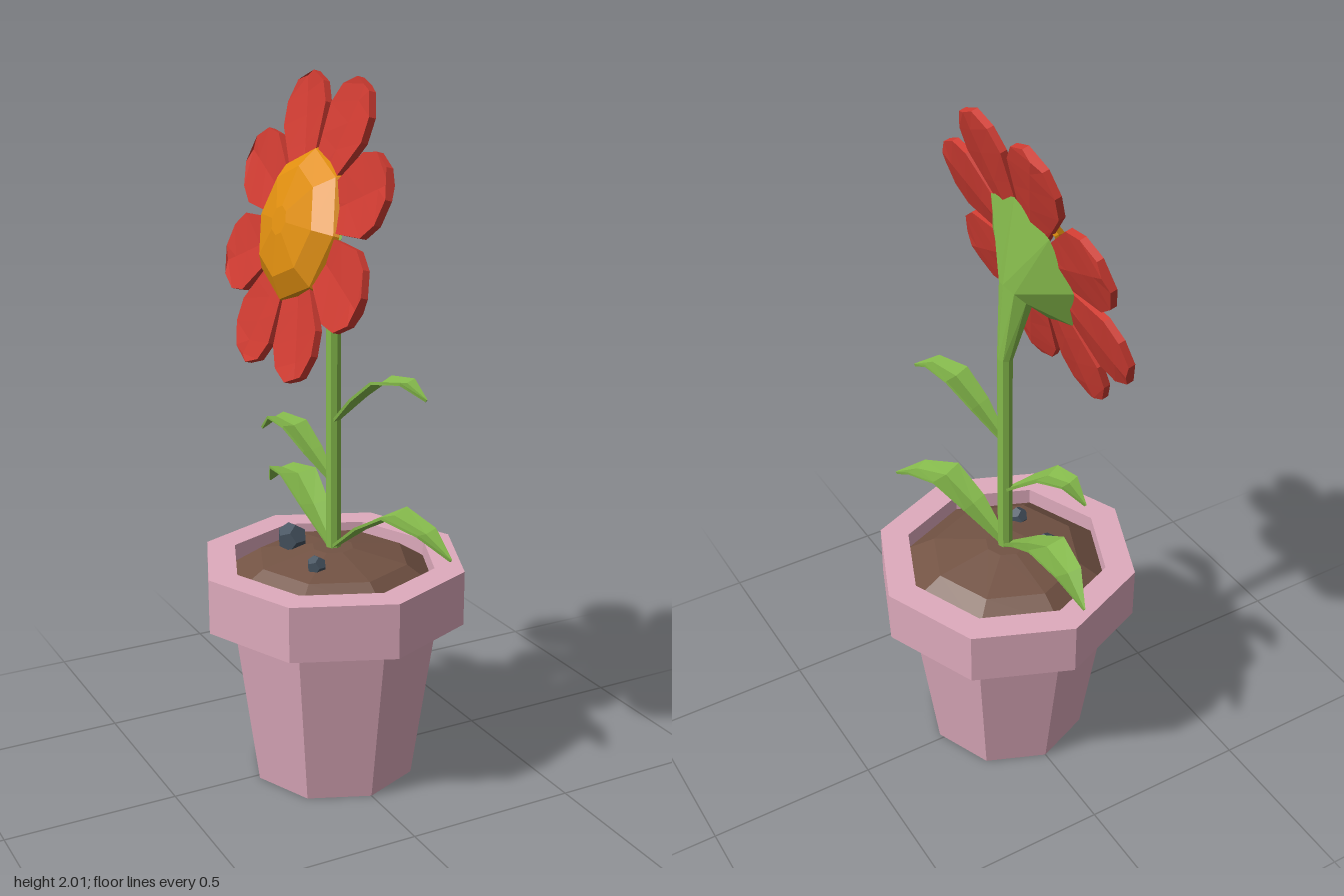
import * as THREE from 'three';

const V = (x, y, z) => new THREE.Vector3(x, y, z);
const CZ = 0.016; // z of the plant's axis
const mat = (color) => new THREE.MeshStandardMaterial({ color, flatShading: true });
const pink = mat(0xdfabbd), soilBrown = mat(0x735344), green = mat(0x86bb4c);
const red = mat(0xd03c32), orange = mat(0xe08f10), slate = mat(0x45525f);

function part(name, geometry, material) {
  const mesh = new THREE.Mesh(geometry, material);
  mesh.name = name;
  return mesh;
}

// Closed solid through equal-sized rings, wound counter-clockwise about the travel direction
function loft(rings) {
  const n = rings[0].length, index = [];
  for (let j = 0; j < rings.length - 1; j++) {
    for (let i = 0; i < n; i++) {
      const k = (i + 1) % n, a = j * n, b = a + n;
      index.push(a + i, a + k, b + k, a + i, b + k, b + i);
    }
  }
  const last = (rings.length - 1) * n;
  for (let i = 1; i < n - 1; i++) {
    index.push(0, i + 1, i, last, last + i, last + i + 1);
  }
  const g = new THREE.BufferGeometry().setFromPoints(rings.flat());
  g.setIndex(index);
  g.computeVertexNormals();
  return g;
}

// Thin folded blade along a path, used for leaves and petals
function blade(path, widths, up, h, fold) {
  return loft(path.map((p, i) => {
    const t = path[Math.min(i + 1, path.length - 1)].clone().sub(path[Math.max(i - 1, 0)]).normalize();
    const s = up.clone().cross(t).normalize();
    const nrm = t.clone().cross(s);
    const w = widths[i], f = fold * Math.min(1, w / 0.05);
    return [[w, h], [0, h + f], [-w, h], [-w, -h], [0, f - h], [w, -h]]
      .map(([a, b]) => p.clone().addScaledVector(s, a).addScaledVector(nrm, b));
  }));
}

function lathe(points) {
  return new THREE.LatheGeometry(points.map(([x, y]) => new THREE.Vector2(x, y)), 8);
}

// Ring of the stem: centre x and y, radius, tilt towards -x
function stemRing([x, y, r, tilt]) {
  const e2 = V(Math.cos(tilt), Math.sin(tilt), 0);
  return Array.from({ length: 8 }, (_, i) => {
    const a = i * Math.PI / 4;
    return V(x, y, CZ).addScaledVector(e2, r * Math.sin(a)).add(V(0, 0, r * Math.cos(a)));
  });
}

export function createModel() {
  const model = new THREE.Group();
  model.name = 'pottedFlower';

  // Pot with an overhanging rim, and the mound of soil
  const pot = part('pot', lathe([[0, 0], [0.24, 0], [0.31, 0.49], [0.387, 0.49],
    [0.387, 0.65], [0.3, 0.65], [0.3, 0.58]]), pink);
  const soil = part('soil', lathe([[0.3, 0.6], [0.22, 0.652], [0.06, 0.683], [0, 0.683]]), soilBrown);
  pot.position.z = soil.position.z = CZ;
  model.add(pot, soil);

  // Stones
  for (const [x, y, z, r] of [[-0.085, 0.692, -0.075, 0.046], [-0.1, 0.675, 0.11, 0.029]]) {
    const stone = part('stone', new THREE.DodecahedronGeometry(r), slate);
    stone.position.set(x, y, z);
    stone.rotation.set(0.4, 0.7, 0.3);
    model.add(stone);
  }

  // Stem flaring into the cup behind the flower
  model.add(part('stem', loft([
    [0.002, 0.64, 0.022, 0], [0.002, 1.33, 0.022, 0.1],
    [-0.03, 1.52, 0.055, 0.8], [-0.08, 1.61, 0.203, 1.3],
  ].map(stemRing)), green));

  // Leaves: tip x and z, heights along the leaf, size of its width
  const along = [0, 0.28, 0.53, 0.8, 1];
  const leafWidths = [0.012, 0.045, 0.058, 0.04, 0.002];
  for (const [x, z, ys, size] of [
    [0.155, 0.405, [0.68, 0.775, 0.835, 0.805, 0.745], 1],
    [0.005, -0.412, [0.68, 0.775, 0.84, 0.825, 0.755], 1],
    [0.12, 0.32, [1.05, 1.14, 1.205, 1.215, 1.175], 0.8],
    [-0.09, -0.26, [0.88, 0.955, 1.015, 1.025, 0.975], 0.8],
  ]) {
    const path = along.map((f, i) => V(x * f, ys[i], CZ + (z - CZ) * f));
    model.add(part('leaf', blade(path, leafWidths.map((w) => w * size), V(0, 1, 0), 0.004, -0.01), green));
  }

  // Flower head, built facing local +z and then tilted towards -x
  const head = new THREE.Group();
  head.name = 'flowerHead';
  const tilt = 0.27, c = Math.cos(tilt), s = Math.sin(tilt);
  head.setRotationFromMatrix(new THREE.Matrix4().makeBasis(V(0, 0, 1), V(s, c, 0), V(-c, s, 0)));
  head.position.set(-0.092, 1.612, CZ);
  const radii = [0.1, 0.23, 0.31, 0.375, 0.422];
  const petal = blade(radii.map((r) => V(r, 0, 0)), [0.04, 0.085, 0.112, 0.095, 0.042], V(0, 0, 1), 0.01, -0.008);
  for (let i = 0; i < 8; i++) {
    const mesh = part('petal', petal, red);
    mesh.rotation.z = (i + 0.5) * Math.PI / 4;
    head.add(mesh);
  }
  const centre = lathe([[0.212, 0], [0.205, 0.015], [0.15, 0.052], [0.04, 0.072], [0, 0.072]]);
  head.add(part('flowerCentre', centre.rotateX(Math.PI / 2), orange));
  model.add(head);
  return model;
}
